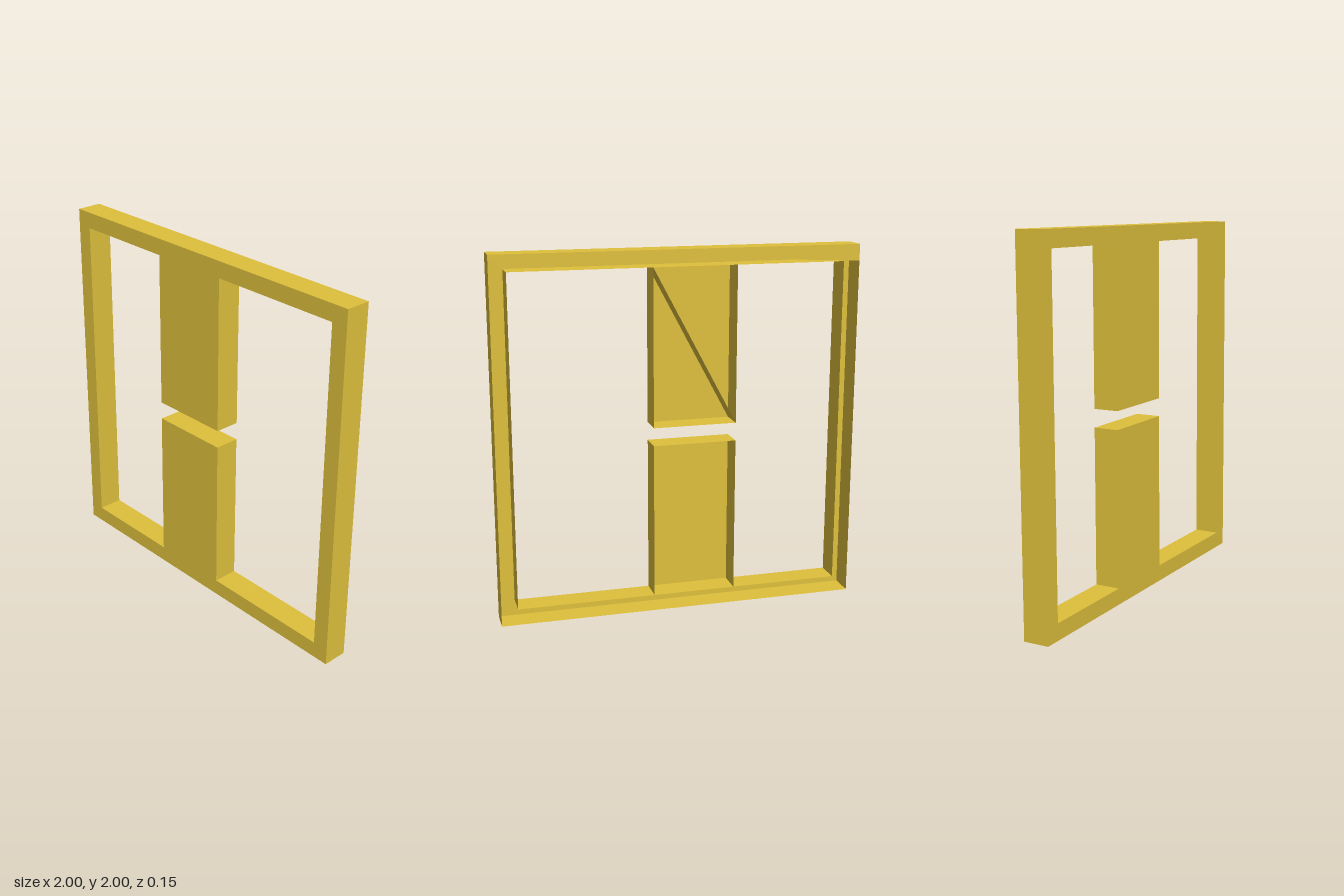
import * as THREE from 'three';

const DEPTH = 0.14;
const material = new THREE.MeshStandardMaterial({
  color: 0xdfc03c, flatShading: true, side: THREE.DoubleSide,
});

// The sheet leans back very slightly: the middle depth drifts with height.
const lean = (y) => 0.006 - 0.006 * y;

function addMesh(group, name, geometry) {
  const p = geometry.attributes.position;
  for (let i = 0; i < p.count; i++) p.setZ(i, p.getZ(i) + lean(p.getY(i)));
  geometry.computeVertexNormals();
  const mesh = new THREE.Mesh(geometry, material);
  mesh.name = name;
  group.add(mesh);
}

// Flat sheet at depth z, optionally with a hole
function addSheet(group, name, points, z, hole) {
  const shape = new THREE.Shape(points);
  if (hole) shape.holes.push(new THREE.Path(hole));
  addMesh(group, name, new THREE.ShapeGeometry(shape).translate(0, 0, z));
}

// Thin wall running from front to back along a line of points
function addWall(group, name, points) {
  const v = [];
  const h = DEPTH / 2;
  for (let i = 0; i + 1 < points.length; i++) {
    const a = points[i], b = points[i + 1];
    v.push(a.x, a.y, h, a.x, a.y, -h, b.x, b.y, -h);
    v.push(a.x, a.y, h, b.x, b.y, -h, b.x, b.y, h);
  }
  const geometry = new THREE.BufferGeometry();
  geometry.setAttribute('position', new THREE.Float32BufferAttribute(v, 3));
  addMesh(group, name, geometry);
}

const pt = (x, y) => new THREE.Vector2(x, y);
const rect = (x0, y0, x1, y1) => [pt(x0, y0), pt(x1, y0), pt(x1, y1), pt(x0, y1)];
const closed = (points) => [...points, points[0]];

export function createModel() {
  const model = new THREE.Group();
  model.name = 'framedPanels';

  // Square frame: a channel open at the back
  const frame = new THREE.Group();
  frame.name = 'frame';
  const outer = rect(-1, 0, 1, 2);
  const inner = rect(-0.91, 0.09, 0.91, 1.91);
  addSheet(frame, 'frameFront', outer, DEPTH / 2, inner);
  addWall(frame, 'frameOuterWall', closed(outer));
  addWall(frame, 'frameInnerWall', closed(inner));
  // Narrow wedge closing part of the top channel at the back
  addSheet(frame, 'topBackWedge', [pt(1, 2), pt(-1, 2), pt(-1, 1.91)], -DEPTH / 2);
  model.add(frame);

  // Two hollow panels, open at the back
  const panels = { lowerPanel: [0.09, 0.95], upperPanel: [1.05, 1.91] };
  for (const [name, [y0, y1]] of Object.entries(panels)) {
    const panel = new THREE.Group();
    panel.name = name;
    const outline = rect(-0.31, y0, 0.15, y1);
    addSheet(panel, name + 'Front', outline, DEPTH / 2);
    // The frame already supplies the wall where the panel meets it
    const [bl, br, tr, tl] = outline;
    addWall(panel, name + 'Walls', name === 'lowerPanel' ? [br, tr, tl, bl] : [tl, bl, br, tr]);
    // Diagonal web inside the upper panel
    if (name === 'upperPanel') addWall(panel, 'diagonalWeb', [bl, tr]);
    model.add(panel);
  }
  return model;
}
